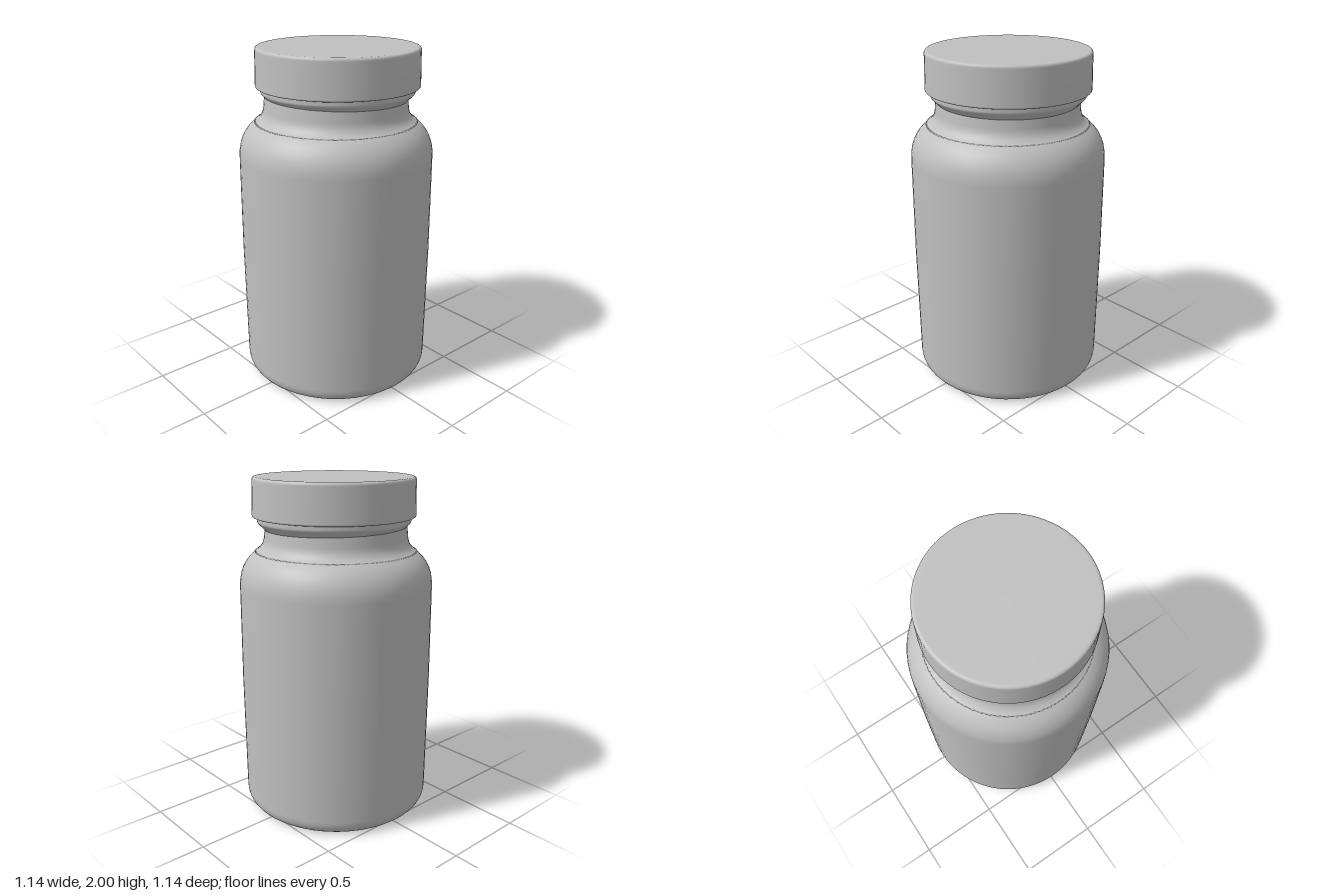
import * as THREE from 'three';

const SIDES = 64;

// Revolve a smooth-cornered outline: each entry is [radius, height, cornerRadius]
function revolve(name, outline, material) {
  const pts = outline.map(([r, y]) => new THREE.Vector2(r, y));
  const profile = [];
  outline.forEach(([, , corner], i) => {
    const p = pts[i];
    if (!corner) return profile.push(p);
    const start = p.clone().add(pts[i - 1].clone().sub(p).setLength(corner));
    const end = p.clone().add(pts[i + 1].clone().sub(p).setLength(corner));
    profile.push(...new THREE.QuadraticBezierCurve(start, p, end).getPoints(8));
  });
  const mesh = new THREE.Mesh(new THREE.LatheGeometry(profile, SIDES), material);
  mesh.name = name;
  return mesh;
}

export function createModel() {
  const grey = new THREE.MeshStandardMaterial({ color: 0xc0c0c0 });
  grey.name = 'plain grey';

  const jar = new THREE.Group();
  jar.name = 'jar';

  // Body with a recessed base, rounded shoulder and neck
  jar.add(revolve('body', [
    [0, 0.035],
    [0.40, 0.03, 0.02],
    [0.43, 0.005, 0.015],
    [0.565, 0.005, 0.09],
    [0.57, 0.8],
    [0.565, 1.53, 0.15],
    [0.425, 1.60, 0.055],
    [0.41, 1.74],
  ], grey));

  // Tamper ring under the lid
  const ring = revolve('collarRing', [
    [0.40, 1.70],
    [0.425, 1.725, 0.01],
    [0.445, 1.745, 0.01],
    [0.445, 1.79],
  ], grey);

  // Flat lid
  const lid = revolve('lid', [
    [0.40, 1.775],
    [0.473, 1.775, 0.012],
    [0.468, 2.0, 0.02],
    [0.43, 2.0],
    [0, 2.0],
  ], grey);

  for (const part of [ring, lid]) {
    part.position.set(0.01, 0, 0.005);
    jar.add(part);
  }
  return jar;
}
